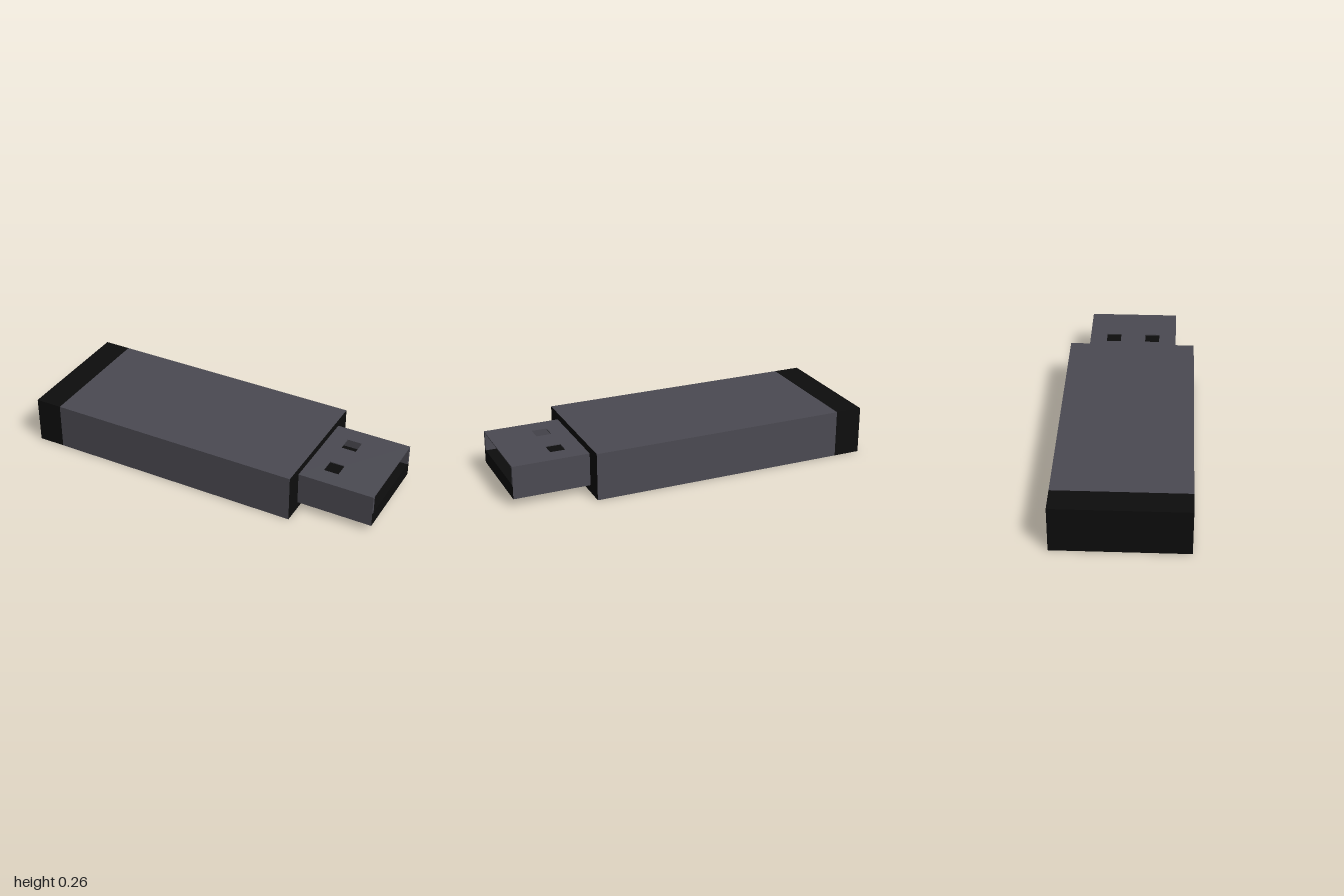
import * as THREE from 'three';

export function createModel() {
  const model = new THREE.Group();
  model.name = 'flashDrive';
  const grey = new THREE.MeshStandardMaterial({ color: 0x4b4a52 });
  grey.name = 'dark grey metal';
  const black = new THREE.MeshStandardMaterial({ color: 0x0d0d0d });
  black.name = 'black plastic';

  // box given by its min and max corners
  function box(name, parent, [x0, y0, z0], [x1, y1, z1], material) {
    const mesh = new THREE.Mesh(new THREE.BoxGeometry(x1 - x0, y1 - y0, z1 - z0), material);
    mesh.position.set((x0 + x1) / 2, (y0 + y1) / 2, (z0 + z1) / 2);
    mesh.name = name;
    parent.add(mesh);
    return mesh;
  }

  // Casing: grey sleeve with a black front face, black cap at the far end
  const W = 0.363, H = 0.263, bodyEnd = 0.577;
  box('casing', model, [-0.85, 0, -W], [bodyEnd, H, W], [black, black, grey, grey, grey, grey]);
  box('endCap', model, [-1, 0, -W], [-0.85, H, W], black);

  // Connector: contact block below, hollow metal shell above
  const plug = new THREE.Group();
  plug.name = 'connector';
  model.add(plug);
  const w = 0.256, wall = 0.018, bottom = 0.041, mid = 0.118, top = 0.224, skin = 0.005;
  box('contactBlock', plug, [bodyEnd, bottom, -w], [1, mid, w], [black, black, black, grey, grey, grey]);
  for (const s of [-1, 1]) {
    const z = [s * w, s * (w - wall)].sort((a, b) => a - b);
    box('shellSide', plug, [bodyEnd, mid, z[0]], [1, top - skin, z[1]], grey);
  }

  // Shell top with two square latch holes
  const plate = new THREE.Shape();
  plate.moveTo(bodyEnd, -w).lineTo(1, -w).lineTo(1, w).lineTo(bodyEnd, w).closePath();
  for (const s of [-1, 1]) {
    const x = 0.718, z = s * 0.115, r = 0.042;
    const hole = new THREE.Path();
    hole.moveTo(x - r, z - r).lineTo(x - r, z + r).lineTo(x + r, z + r).lineTo(x + r, z - r).closePath();
    plate.holes.push(hole);
  }
  const shellTop = new THREE.Mesh(
    new THREE.ExtrudeGeometry(plate, { depth: skin, bevelEnabled: false }).rotateX(-Math.PI / 2), grey);
  shellTop.position.y = top - skin;
  shellTop.name = 'shellTop';
  plug.add(shellTop);

  return model;
}
